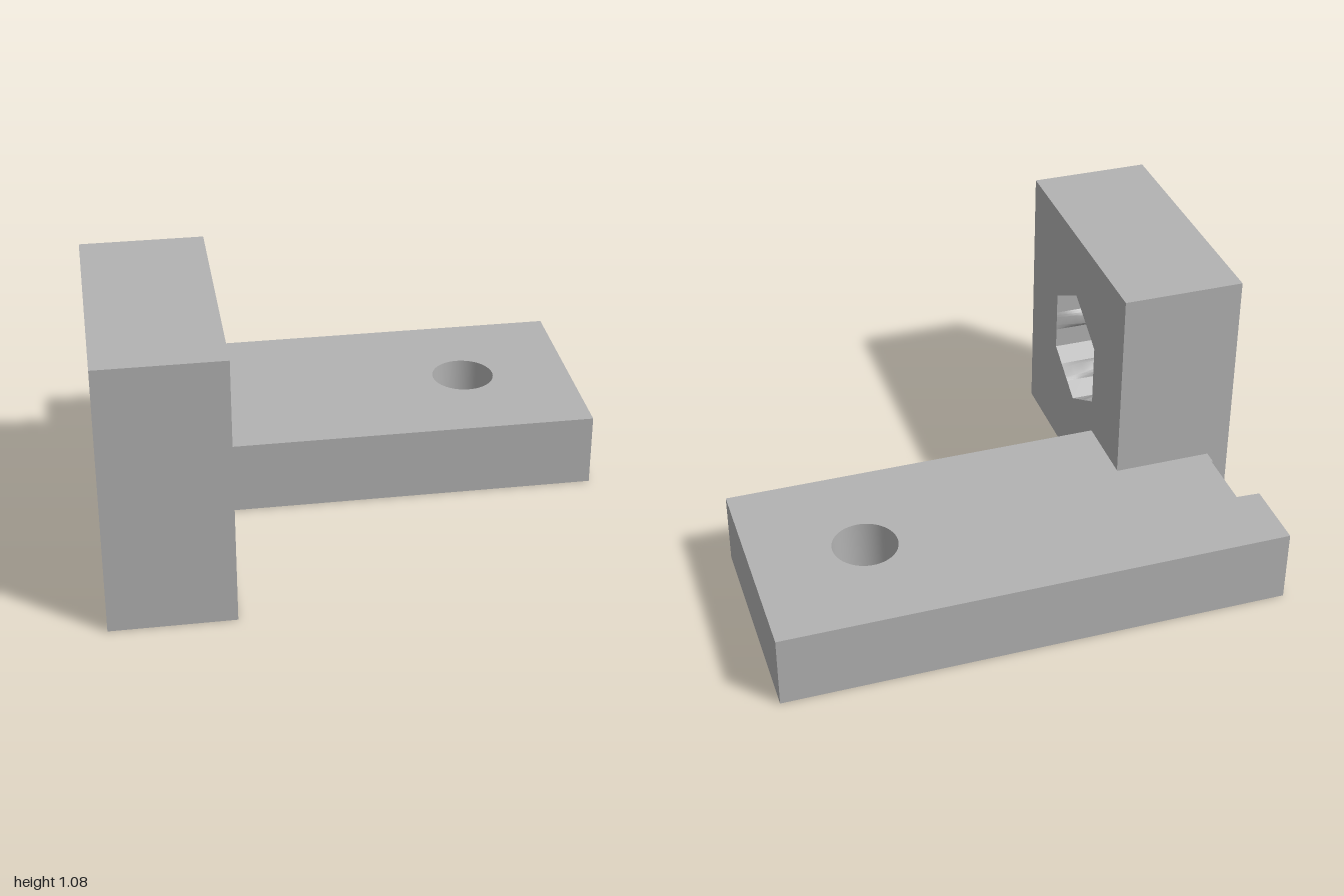
import * as THREE from 'three';
import { toCreasedNormals } from 'three/addons/utils/BufferGeometryUtils.js';

const FACE_X = -0.523, POCKET = 0.2, HOLE_R = 0.127;
const NUT = { z: 0.295, y: 0.56, flat: 0.218 };

const polygon = (pts, Type = THREE.Shape) => new Type(pts.map(([a, b]) => new THREE.Vector2(a, b)));
const roundHole = (x, y) => new THREE.Path().absarc(x, y, HOLE_R, 0, Math.PI * 2, true);
const extrude = (shape, depth, steps = 1) =>
  new THREE.ExtrudeGeometry(shape, { depth, steps, bevelEnabled: false, curveSegments: 32 });

export function createModel() {
  const group = new THREE.Group();
  const grey = new THREE.MeshStandardMaterial({ color: 0xb2b2b2 });
  grey.name = 'grey';
  const add = (name, geometry) => {
    const mesh = new THREE.Mesh(toCreasedNormals(geometry, 0.5), grey);
    mesh.name = name;
    group.add(mesh);
    return mesh;
  };

  // Base plate with a side notch and a screw hole, drawn in x and -z
  const plate = polygon([
    [-1, 0.81], [-1, 0.53], [-0.906, 0.525], [-0.906, 0.28], [-0.912, 0.28], [-0.912, 0.223],
    [FACE_X, 0.223], [FACE_X, -0.07], [1, -0.07], [1, 0.81],
  ]);
  plate.holes.push(roundHole(0.555, 0.372));
  add('basePlate', extrude(plate, 0.295).rotateX(-Math.PI / 2));

  // Upright block in two layers, drawn in -z and y and extruded along x
  const blockShape = (hole) => {
    const s = polygon([[-0.81, 0], [0.22, 0], [0.22, 1.075], [-0.81, 1.075]]);
    s.holes.push(hole);
    return s;
  };
  const hexagon = [];
  for (let i = 0; i < 6; i++) {
    const a = Math.PI / 2 - i * Math.PI / 3, r = NUT.flat / Math.cos(Math.PI / 6);
    hexagon.push([-NUT.z + r * Math.cos(a), NUT.y + r * Math.sin(a)]);
  }
  const floorX = FACE_X - POCKET;
  add('blockWithBore', extrude(blockShape(roundHole(-NUT.z, NUT.y)), floorX + 1)
    .rotateY(Math.PI / 2).translate(-1, 0, 0));
  add('blockWithNutPocket', extrude(blockShape(polygon(hexagon, THREE.Path)), POCKET)
    .rotateY(Math.PI / 2).translate(floorX, 0, 0));

  // Grip ribs on the pocket flats, tapering to nothing at the mouth
  const bump = new THREE.Shape();
  bump.moveTo(-0.042, 0);
  bump.lineTo(0.042, 0);
  bump.quadraticCurveTo(0.027, 0.022, 0.016, 0.022);
  bump.lineTo(-0.016, 0.022);
  bump.quadraticCurveTo(-0.027, 0.022, -0.042, 0);
  for (let i = 0; i < 6; i++) {
    const rib = extrude(bump, POCKET, 5);
    const p = rib.attributes.position;
    for (let k = 0; k < p.count; k++) {
      p.setY(k, p.getY(k) * Math.min(1, (POCKET - p.getZ(k)) / 0.12));
    }
    rib.translate(0, -NUT.flat, 0).rotateZ(Math.PI / 6 + i * Math.PI / 3);
    rib.translate(-NUT.z, NUT.y, 0).rotateY(Math.PI / 2).translate(floorX, 0, 0);
    add('gripRib', rib);
  }
  return group;
}
